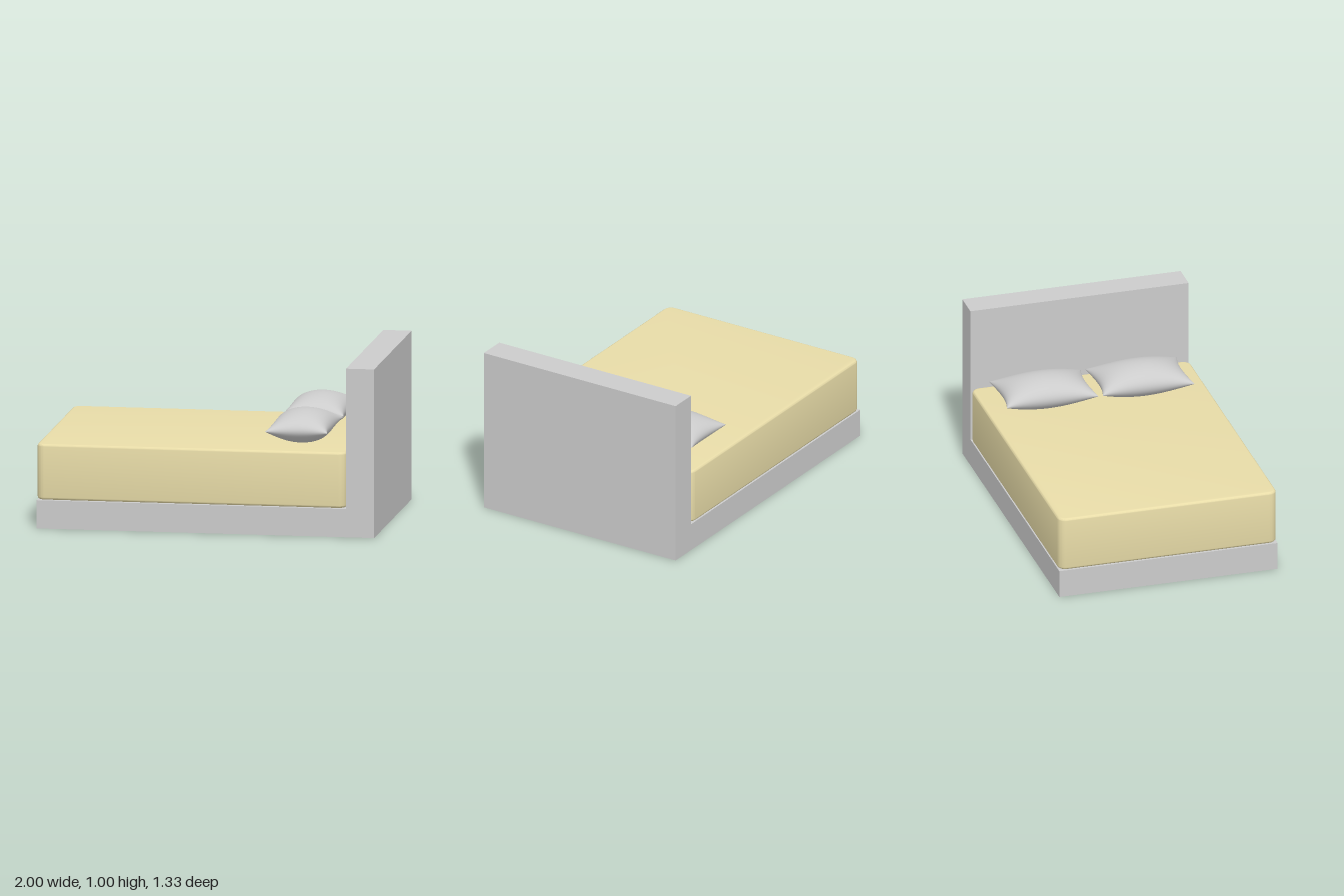
import * as THREE from 'three';
import { mergeGeometries, mergeVertices, toCreasedNormals } from 'three/addons/utils/BufferGeometryUtils.js';

const HALF_WIDTH = 0.665;

function addMesh(group, name, geometry, material) {
  const mesh = new THREE.Mesh(geometry, material);
  mesh.name = name;
  group.add(mesh);
  return mesh;
}

// L-shaped profile: low base with an upright headboard at +x
function frameGeometry() {
  const profile = new THREE.Shape(
    [[-1, 0], [1, 0], [1, 1], [0.833, 1], [0.833, 0.167], [-1, 0.167]].map(([x, y]) => new THREE.Vector2(x, y))
  );
  const geo = new THREE.ExtrudeGeometry(profile, { depth: 2 * HALF_WIDTH, bevelEnabled: false });
  return geo.translate(0, 0, -HALF_WIDTH);
}

// Rounded slab: wide vertical corners, tight rounding along top and bottom
function mattressGeometry() {
  const bevel = 0.015, r = 0.035, y0 = 0.17, y1 = 0.5;
  const x0 = -1 + bevel, x1 = 0.83 - bevel, h = HALF_WIDTH - bevel;
  const s = new THREE.Shape();
  s.absarc(x1 - r, h - r, r, 0, Math.PI / 2);
  s.absarc(x0 + r, h - r, r, Math.PI / 2, Math.PI);
  s.absarc(x0 + r, -h + r, r, Math.PI, Math.PI * 1.5);
  s.absarc(x1 - r, -h + r, r, Math.PI * 1.5, Math.PI * 2);
  s.closePath();
  const geo = new THREE.ExtrudeGeometry(s, {
    depth: y1 - y0 - 2 * bevel, bevelSize: bevel, bevelThickness: bevel, bevelSegments: 4, curveSegments: 6,
  });
  geo.rotateX(-Math.PI / 2).translate(0, y0 + bevel, 0);
  return toCreasedNormals(geo, 0.7);
}

// Two puffed sheets joined at a seam, edges drawn in between the corners
function pillowGeometry() {
  const halves = [1, -1].map((side) => {
    const geo = new THREE.PlaneGeometry(2, 2, 28, 28).rotateX(-side * Math.PI / 2);
    const p = geo.attributes.position;
    for (let i = 0; i < p.count; i++) {
      const u = Math.sin(p.getX(i) * Math.PI / 2), v = Math.sin(p.getZ(i) * Math.PI / 2);
      const puff = Math.sqrt(Math.max(0, (1 - u * u) * (1 - v * v)));
      p.setXYZ(i,
        0.185 * u * (1 - 0.1 * (1 - v ** 4)),
        side * 0.097 * puff,
        0.28 * v * (1 - 0.09 * (1 - u * u)));
    }
    geo.deleteAttribute('uv');
    geo.deleteAttribute('normal');
    return geo;
  });
  const geo = mergeVertices(mergeGeometries(halves), 1e-5);
  geo.computeVertexNormals();
  return geo;
}

export function createModel() {
  const bed = new THREE.Group();
  bed.name = 'bed';
  const grey = new THREE.MeshStandardMaterial({ color: 0xcccccc });
  const cream = new THREE.MeshStandardMaterial({ color: 0xe8dca8 });

  addMesh(bed, 'frameWithHeadboard', frameGeometry(), grey);
  addMesh(bed, 'mattress', mattressGeometry(), cream);

  // Pair of pillows side by side by the headboard
  const pillow = pillowGeometry();
  [['frontPillow', 0.275], ['backPillow', -0.31]].forEach(([name, z]) => {
    addMesh(bed, name, pillow, grey).position.set(0.52, 0.592, z);
  });
  return bed;
}
